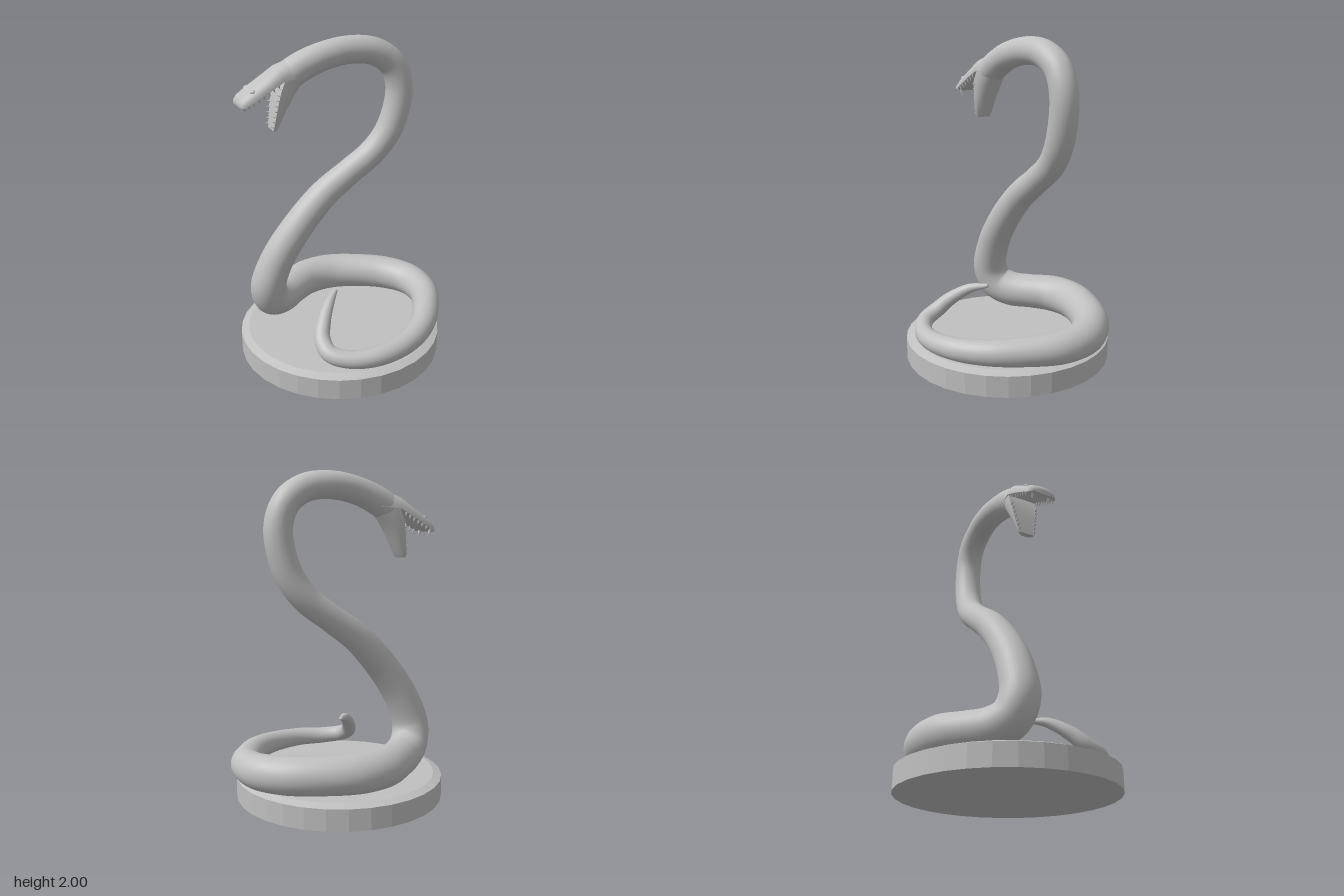
import * as THREE from 'three';
import { toCreasedNormals } from 'three/addons/utils/BufferGeometryUtils.js';

const stone = new THREE.MeshStandardMaterial({ color: 0xc0c0c0 });
stone.name = 'pale grey';

function add(parent, name, geometry) {
  const mesh = new THREE.Mesh(geometry, stone);
  mesh.name = name;
  parent.add(mesh);
  return mesh;
}

// Body centreline from tail tip to neck: x, y, z, radius
const BODY = [
  [-0.04, 0.437, 0.13, 0.014], [-0.075, 0.415, 0.235, 0.031], [-0.11, 0.34, 0.36, 0.044],
  [-0.115, 0.275, 0.44, 0.05], [-0.07, 0.23, 0.52, 0.052], [0.05, 0.208, 0.548, 0.054],
  [0.22, 0.21, 0.515, 0.06], [0.39, 0.218, 0.39, 0.068], [0.505, 0.23, 0.21, 0.077],
  [0.557, 0.24, 0, 0.086], [0.56, 0.25, -0.2, 0.097], [0.475, 0.26, -0.365, 0.107],
  [0.32, 0.266, -0.455, 0.113], [0.11, 0.27, -0.485, 0.115], [-0.1, 0.272, -0.46, 0.12],
  [-0.25, 0.272, -0.37, 0.121], [-0.34, 0.268, -0.24, 0.115], [-0.41, 0.272, -0.11, 0.117],
  [-0.46, 0.315, -0.02, 0.118], [-0.475, 0.42, 0.025, 0.115], [-0.415, 0.6, 0.015, 0.107],
  [-0.29, 0.8, -0.03, 0.1], [-0.12, 1, -0.105, 0.092], [0.05, 1.135, -0.175, 0.084],
  [0.2, 1.255, -0.225, 0.084], [0.305, 1.41, -0.245, 0.086], [0.357, 1.66, -0.25, 0.085],
  [0.31, 1.81, -0.23, 0.084], [0.2, 1.895, -0.18, 0.083], [0.05, 1.917, -0.118, 0.083],
  [-0.12, 1.888, -0.04, 0.084], [-0.24, 1.837, 0.008, 0.088], [-0.315, 1.79, 0.04, 0.088],
];

// Tube whose rings are rescaled to the listed radii
function taperedTube(points, segments, sides) {
  const curve = new THREE.CatmullRomCurve3(points.map(p => new THREE.Vector3(p[0], p[1], p[2])));
  curve.arcLengthDivisions = 1000;
  const geometry = new THREE.TubeGeometry(curve, segments, 1, sides);
  const pos = geometry.attributes.position, v = new THREE.Vector3();
  for (let i = 0; i <= segments; i++) {
    const centre = curve.getPointAt(i / segments);
    const t = curve.getUtoTmapping(i / segments) * (points.length - 1);
    const k = Math.min(Math.floor(t), points.length - 2);
    const r = THREE.MathUtils.lerp(points[k][3], points[k + 1][3], t - k);
    for (let j = 0; j <= sides; j++) {
      const n = i * (sides + 1) + j;
      v.fromBufferAttribute(pos, n).sub(centre).multiplyScalar(r).add(centre);
      pos.setXYZ(n, v.x, v.y, v.z);
    }
  }
  return geometry;
}

// Loft of D-shaped sections: [flat x, flat y, dome x, dome y, half width]
function jaw(sections, side) {
  const n = 16, ring = n + 1, verts = [], index = [];
  for (const [fx, fy, dx, dy, w] of sections) {
    for (let j = 0; j <= n; j++) {
      const a = Math.PI * j / n, h = Math.pow(Math.max(0, Math.sin(a)), 0.85);
      verts.push(fx + (dx - fx) * h, fy + (dy - fy) * h, side * w * Math.cos(a));
    }
  }
  const last = (sections.length - 1) * ring;
  for (let i = 0; i < last; i += ring) {
    for (let j = 0; j < ring; j++) {
      const a = i + j, b = i + (j + 1) % ring;
      index.push(a, b, a + ring, b, b + ring, a + ring);
    }
  }
  for (let j = 1; j < n; j++) {
    index.push(0, j + 1, j, last, last + j, last + j + 1);
  }
  const geometry = new THREE.BufferGeometry();
  geometry.setAttribute('position', new THREE.Float32BufferAttribute(verts, 3));
  geometry.setIndex(index);
  return toCreasedNormals(geometry, 0.75);
}

function tooth(parent, name, x, y, z, dir, length) {
  const geometry = new THREE.ConeGeometry(length * 0.3, length, 8);
  geometry.translate(0, length / 2 - 0.006, 0);
  const mesh = add(parent, name, geometry);
  mesh.position.set(x, y, z);
  mesh.quaternion.setFromUnitVectors(new THREE.Vector3(0, 1, 0), dir);
}

export function createModel() {
  const model = new THREE.Group();
  model.name = 'snakeStatue';

  // Faceted round base with a bevelled top
  const base = new THREE.Group();
  base.name = 'base';
  base.position.x = -0.013;
  model.add(base);
  const drum = new THREE.CylinderGeometry(0.65, 0.65, 0.13, 32).translate(0, 0.065, 0);
  const bevel = new THREE.CylinderGeometry(0.6, 0.65, 0.018, 32).translate(0, 0.139, 0);
  add(base, 'baseDrum', toCreasedNormals(drum, 0.1));
  add(base, 'baseBevel', toCreasedNormals(bevel, 0.1));

  // Coiled body and rounded tail tip
  add(model, 'body', taperedTube(BODY, 320, 32));
  add(model, 'tailTip', new THREE.SphereGeometry(0.014, 16, 12)).position.set(-0.04, 0.437, 0.13);

  // Head: local +x points along the snout
  const head = new THREE.Group();
  head.name = 'head';
  head.position.set(-0.3, 0, 0.033);
  head.rotation.y = Math.PI + 0.41;
  model.add(head);

  add(head, 'upperJaw', jaw([
    [-0.07, 1.795, -0.02, 1.9, 0.08], [0.06, 1.782, 0.09, 1.86, 0.097],
    [0.15, 1.733, 0.17, 1.805, 0.105], [0.24, 1.682, 0.262, 1.745, 0.105],
    [0.295, 1.652, 0.312, 1.708, 0.099], [0.315, 1.645, 0.327, 1.685, 0.085],
    [0.325, 1.648, 0.331, 1.668, 0.066],
  ], -1));
  add(head, 'lowerJaw', jaw([
    [0.05, 1.8, -0.085, 1.765, 0.088], [0.085, 1.72, -0.025, 1.69, 0.093],
    [0.105, 1.62, 0.03, 1.6, 0.078], [0.123, 1.51, 0.08, 1.505, 0.06],
    [0.126, 1.487, 0.094, 1.485, 0.05],
  ], 1));

  const down = new THREE.Vector3(-0.4, -0.92, 0).normalize();
  const forward = new THREE.Vector3(0.97, 0.2, 0).normalize();
  const lerp = THREE.MathUtils.lerp;
  for (const side of [-1, 1]) {
    // Eyes set on the top of the snout
    const eye = add(head, 'eye', new THREE.SphereGeometry(0.02, 20, 14));
    eye.position.set(0.243, 1.731, side * 0.066);
    eye.scale.set(1, 0.7, 1);
    // Rows of teeth along both jaws
    for (let i = 0; i < 7; i++) {
      const t = i / 6;
      tooth(head, 'upperTooth', lerp(0.1, 0.28, t), lerp(1.76, 1.66, t), side * 0.092, down, 0.032);
      tooth(head, 'lowerTooth', lerp(0.088, 0.122, t), lerp(1.7, 1.51, t),
        side * lerp(0.083, 0.05, t), forward, 0.03);
    }
    tooth(head, 'fang', 0.302, 1.652, side * 0.055, down, 0.048);
  }
  return model;
}
